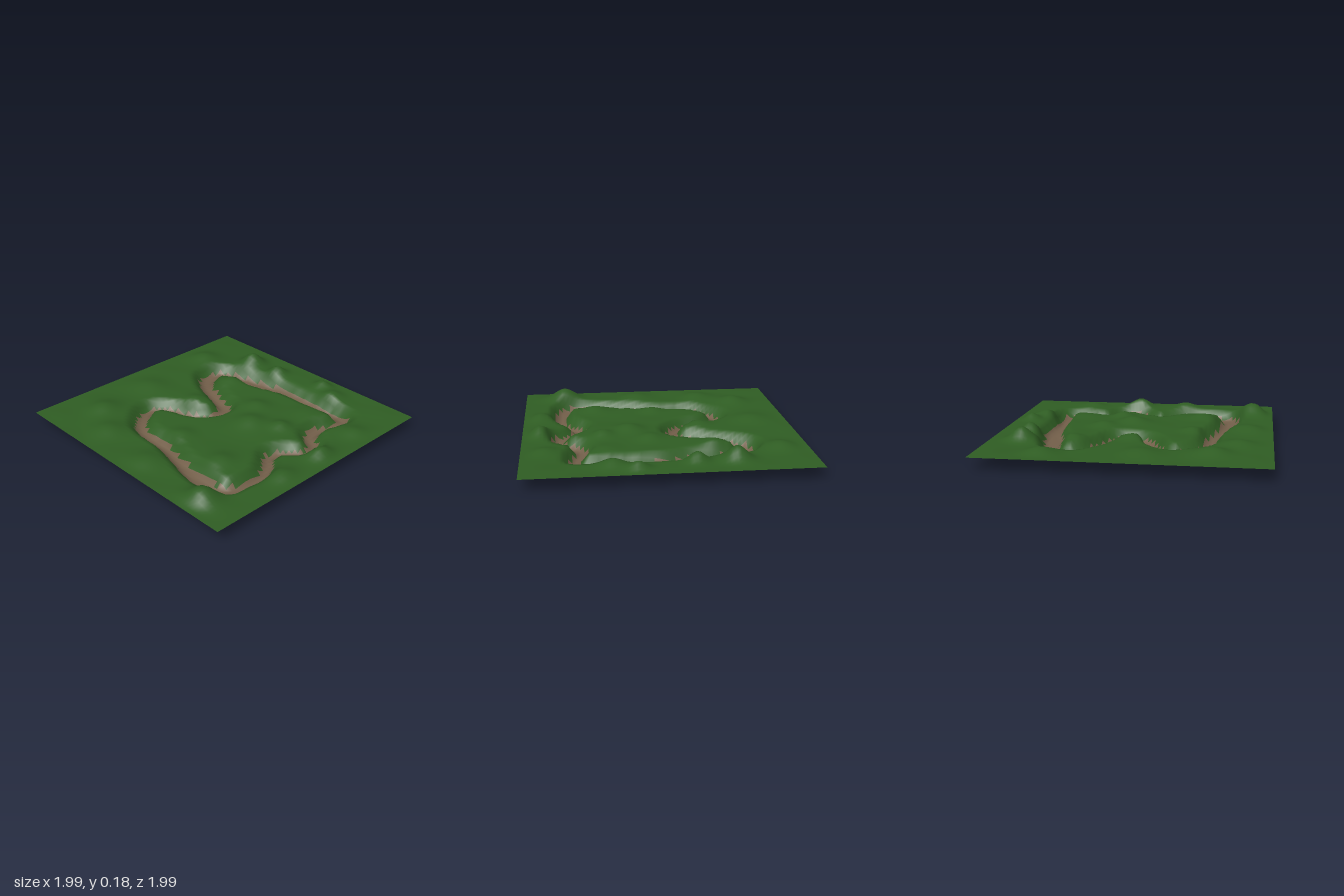
import * as THREE from 'three';

const GROUND = 0.095;

// Sunken track centre line: x, z, half width
const TRACK = [
  [0.61, -0.65, 0.045], [0.3, -0.655, 0.045], [0.0, -0.645, 0.055], [-0.2, -0.6, 0.07],
  [-0.4, -0.565, 0.055], [-0.55, -0.51, 0.06], [-0.585, -0.4, 0.065], [-0.48, -0.28, 0.05],
  [-0.28, -0.2, 0.045], [-0.12, -0.13, 0.05], [-0.1, 0.0, 0.04], [-0.2, 0.11, 0.045],
  [-0.4, 0.19, 0.045], [-0.495, 0.3, 0.045], [-0.43, 0.43, 0.045], [-0.3, 0.525, 0.045],
  [0.0, 0.555, 0.045], [0.2, 0.605, 0.045], [0.42, 0.645, 0.058], [0.66, 0.645, 0.06],
  [0.71, 0.5, 0.04], [0.71, 0.32, 0.04], [0.65, 0.2, 0.042], [0.58, 0.1, 0.04],
  [0.63, 0.0, 0.045], [0.73, -0.1, 0.045], [0.71, -0.21, 0.045], [0.6, -0.3, 0.045],
  [0.575, -0.4, 0.045], [0.62, -0.54, 0.04],
];

// Hills: x, z, height, radius
const HILLS = [
  [-0.45, -0.77, 0.095, 0.1], [-0.18, -0.78, 0.07, 0.08], [0.22, -0.88, 0.055, 0.08],
  [0.38, -0.8, 0.045, 0.1], [0.68, 0.83, 0.09, 0.13], [0.87, -0.1, 0.065, 0.11],
  [0.87, 0.28, 0.045, 0.12], [0.22, -0.07, 0.05, 0.13], [0.42, -0.18, 0.045, 0.09],
  [0.08, -0.28, 0.035, 0.11], [-0.68, 0.6, 0.05, 0.14], [-0.3, 0.0, 0.035, 0.1],
  [-0.4, 0.76, 0.035, 0.14], [-0.8, -0.55, 0.035, 0.12], [-0.72, 0.1, 0.03, 0.16],
  [0.0, 0.4, 0.03, 0.1], [0.45, 0.45, 0.04, 0.12], [0.1, 0.8, 0.03, 0.14],
  [0.4, -0.48, 0.02, 0.12], [-0.35, -0.42, 0.03, 0.09], [0.83, -0.5, 0.03, 0.11],
];

// Smooth closed centre line, with the half width carried in y
const path = new THREE.CatmullRomCurve3(
  TRACK.map(([x, z, w]) => new THREE.Vector3(x, w, z)), true, 'centripetal',
).getPoints(240);

// Signed distance to the edge of the dirt: negative on the track
function edgeDistance(x, z) {
  let best = Infinity;
  for (const p of path) best = Math.min(best, Math.hypot(x - p.x, z - p.z) - p.y);
  return best;
}

function terrainHeight(x, z) {
  // Hills fade to a level border
  const border = Math.min(1 - Math.abs(x), 1 - Math.abs(z));
  const fade = THREE.MathUtils.smoothstep(border, 0, 0.12);
  let hill = 0;
  for (const [hx, hz, h, r] of HILLS) {
    hill += h * Math.exp(-1.4 * ((x - hx) ** 2 + (z - hz) ** 2) / (r * r));
  }
  const ripple = 0.004 * Math.sin(x * 11 + z * 5) * Math.sin(z * 13 - x * 3);
  const top = GROUND + fade * (hill + ripple);
  // Steep banks drop to a slightly uneven track floor
  const floor = 0.017 + 0.009 * Math.sin(x * 9 + 1) * Math.cos(z * 8);
  const bank = THREE.MathUtils.smoothstep(edgeDistance(x, z), -0.02, 0.055);
  return floor + (top - floor) * bank;
}

export function createModel() {
  const model = new THREE.Group();
  model.name = 'terrain';
  const grass = new THREE.MeshStandardMaterial({ color: 0x2f5d23, side: THREE.DoubleSide });
  grass.name = 'grass green';
  const dirt = new THREE.MeshStandardMaterial({ color: 0x735f4a, side: THREE.DoubleSide });
  dirt.name = 'dirt brown';

  // Height field
  const cells = 68;
  const ground = new THREE.PlaneGeometry(1.99, 1.99, cells, cells);
  ground.rotateX(-Math.PI / 2);
  const pos = ground.attributes.position;
  for (let i = 0; i < pos.count; i++) pos.setY(i, terrainHeight(pos.getX(i), pos.getZ(i)));
  ground.computeVertexNormals();

  // Sort whole grid cells into grass and dirt
  const index = ground.index.array;
  const grassFaces = [];
  const dirtFaces = [];
  for (let i = 0; i < index.length; i += 6) {
    const quad = Array.from(index.slice(i, i + 6));
    const x = (pos.getX(quad[1]) + pos.getX(quad[5])) / 2;
    const z = (pos.getZ(quad[1]) + pos.getZ(quad[5])) / 2;
    (edgeDistance(x, z) < 0 ? dirtFaces : grassFaces).push(...quad);
  }

  // Both surfaces share the same vertices and normals
  const addSurface = (name, faces, material) => {
    const geometry = ground.clone();
    geometry.setIndex(faces);
    const mesh = new THREE.Mesh(geometry, material);
    mesh.name = name;
    model.add(mesh);
  };
  addSurface('grassland', grassFaces, grass);
  addSurface('dirtTrack', dirtFaces, dirt);
  return model;
}
